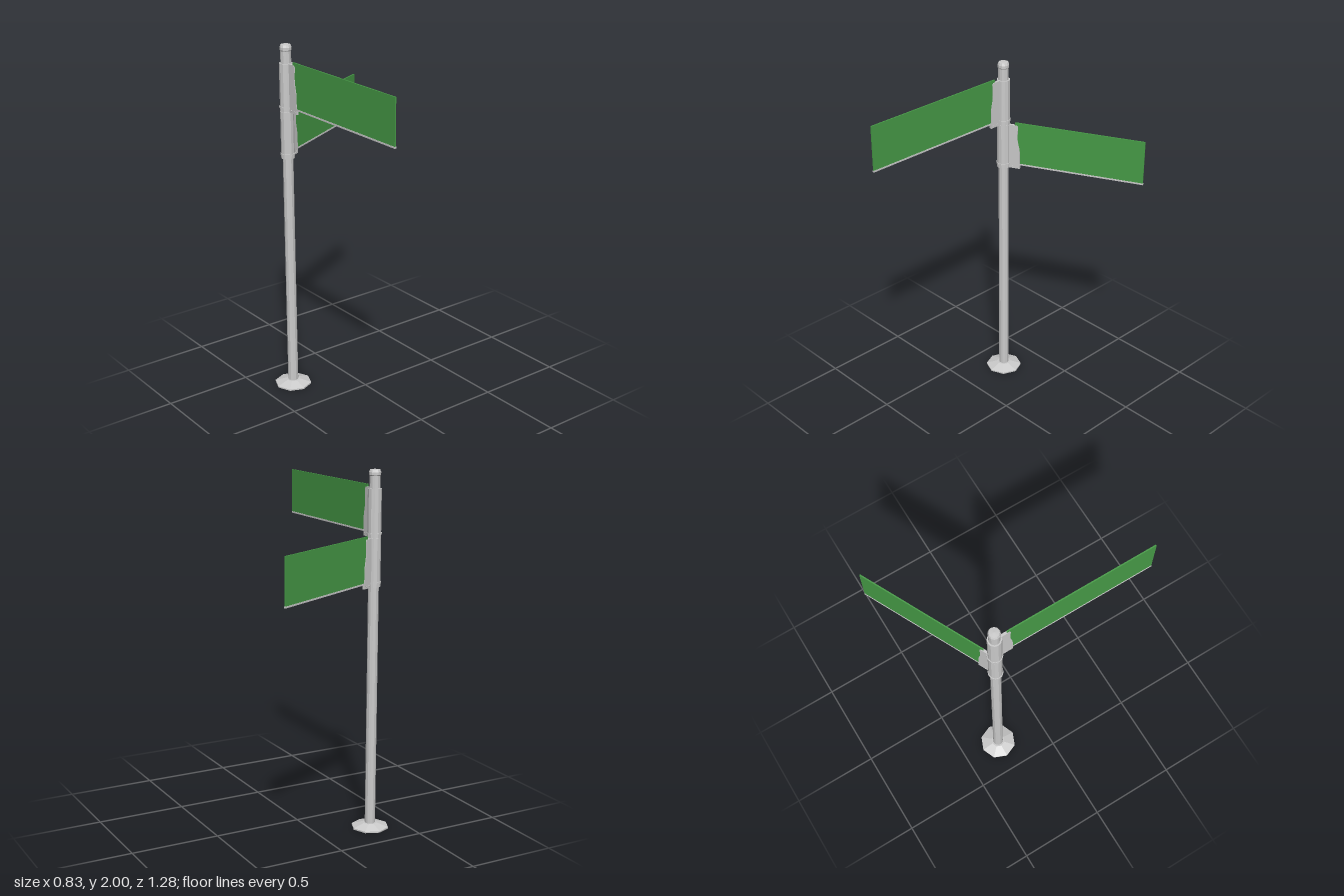
import * as THREE from 'three';

export function createModel() {
  const model = new THREE.Group();
  model.name = 'signpost';
  const steel = new THREE.MeshStandardMaterial({ color: 0xcccccc, flatShading: true });
  const green = new THREE.MeshStandardMaterial({ color: 0x479c47, flatShading: true });

  const add = (parent, name, geometry, material, x = 0, y = 0, z = 0) => {
    const mesh = new THREE.Mesh(geometry, material);
    mesh.name = name;
    mesh.position.set(x, y, z);
    parent.add(mesh);
    return mesh;
  };
  const lathe = (points, sides) =>
    new THREE.LatheGeometry(points.map(([r, y]) => new THREE.Vector2(r, y)), sides);

  // Octagonal foot with a shallow sloping top
  add(model, 'base', lathe([[0, 0], [0.105, 0], [0.105, 0.008], [0.04, 0.028], [0, 0.028]], 8), steel);

  // Pole and its rounded cap
  add(model, 'pole', new THREE.CylinderGeometry(0.029, 0.029, 1.96, 12), steel, 0, 0.99, 0);
  add(model, 'cap', lathe([[0.029, 1.965], [0.032, 1.97], [0.032, 1.985], [0.027, 1.998], [0, 2]], 12), steel);

  // Bracket outline: wide at the foot, narrowing in a curve towards the top
  const outline = new THREE.Shape();
  outline.moveTo(0.025, 0);
  outline.lineTo(0.098, 0);
  outline.lineTo(0.098, 0.09);
  outline.bezierCurveTo(0.098, 0.135, 0.084, 0.15, 0.084, 0.19);
  outline.lineTo(0.087, 0.255);
  outline.lineTo(0.08, 0.263);
  outline.lineTo(0.025, 0.263);
  outline.closePath();

  // One blade with its clamp, pointing along local +z
  const addSign = (name, y, length, angle) => {
    const sign = new THREE.Group();
    sign.name = name;
    sign.position.y = y;
    sign.rotation.y = angle;
    model.add(sign);

    add(sign, 'clampSleeve', new THREE.CylinderGeometry(0.037, 0.037, 0.262, 12), steel, 0, 0.131, 0);
    add(sign, 'clampCollar', new THREE.CylinderGeometry(0.041, 0.041, 0.01, 12), steel, 0, 0.024, 0);

    const plate = new THREE.ExtrudeGeometry(outline, { depth: 0.014, bevelEnabled: false, curveSegments: 6 });
    plate.translate(0, 0, -0.007).rotateY(-Math.PI / 2);
    add(sign, 'bracket', plate, steel);

    // Bolts through the foot of the bracket
    for (const z of [0.055, 0.085]) {
      const bolt = new THREE.CylinderGeometry(0.004, 0.004, 0.02, 6).rotateZ(Math.PI / 2);
      add(sign, 'bolt', bolt, steel, 0, 0.014, z);
    }

    const start = 0.068;
    const span = length - start;
    add(sign, 'panel', new THREE.BoxGeometry(0.007, 0.25, span), green, 0, 0.153, start + span / 2);
    add(sign, 'bottomRail', new THREE.BoxGeometry(0.011, 0.009, span + 0.003), steel, 0, 0.027, start + span / 2);
  };
  addSign('upperSign', 1.637, 0.915, 0);
  addSign('lowerSign', 1.374, 0.805, Math.atan2(0.72, -0.355));

  // The pole stands off-centre so the whole model is centred
  model.children.forEach((part) => {
    part.position.x -= 0.312;
    part.position.z -= 0.281;
  });
  return model;
}
